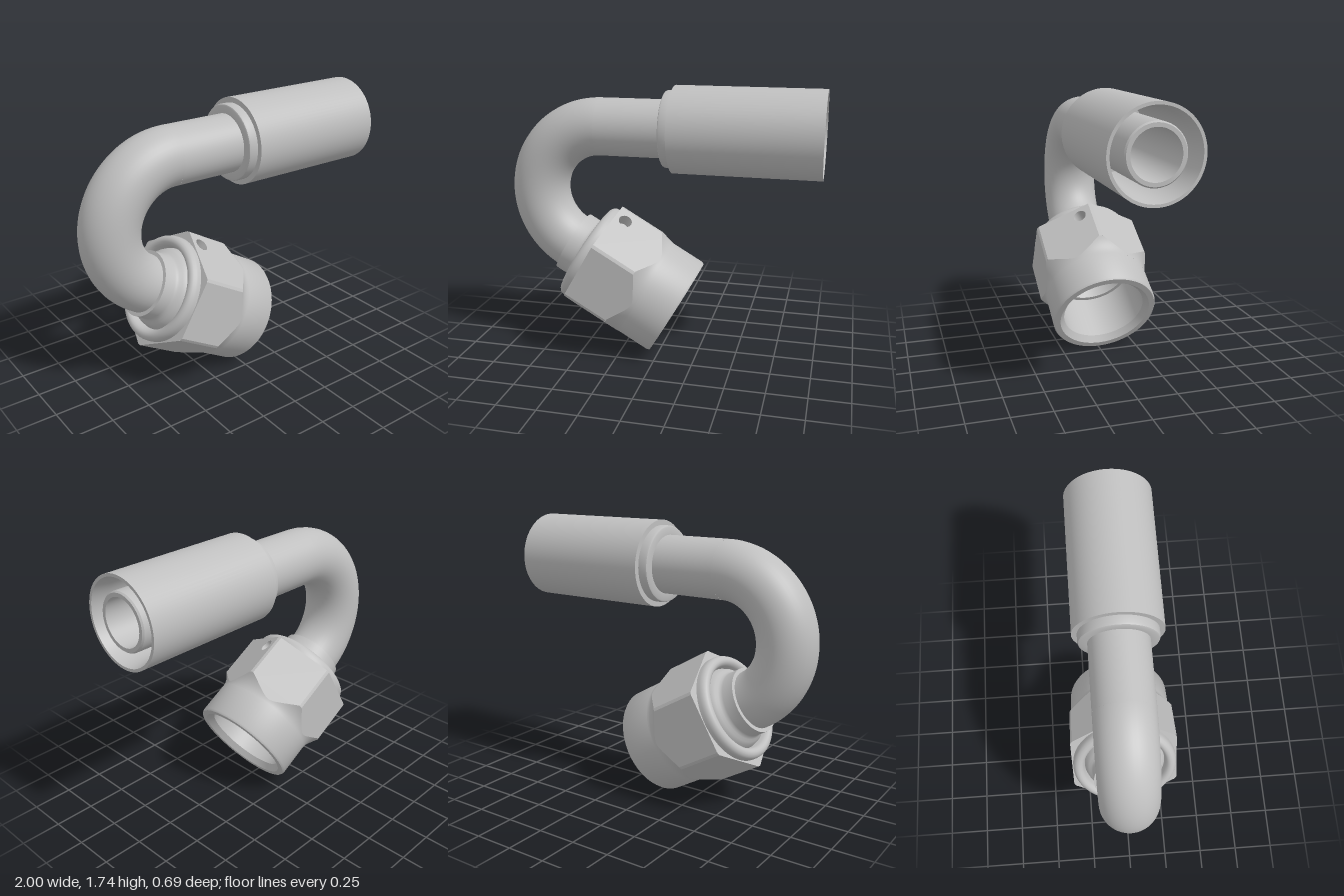
import * as THREE from 'three';
import { toCreasedNormals } from 'three/addons/utils/BufferGeometryUtils.js';

const metal = new THREE.MeshStandardMaterial({ color: 0xbfbfbf, side: THREE.DoubleSide });
metal.name = 'grey metal';

const RAD = Math.PI / 180;
const FLAT = 0.343, CORNER = 0.39, BACK = 0.167; // hexagon: flat distance, cut corner radius, rear face
const FILLET0 = 0.475, FILLET1 = 0.585, BARREL = 0.341; // fillet from hexagon down to the barrel
const CUT = Math.acos(FLAT / CORNER); // half angle of one flat

function add(parent, name, geometry) {
  const mesh = new THREE.Mesh(geometry, metal);
  mesh.name = name;
  parent.add(mesh);
  return mesh;
}

// Turned part around y from [radius, height] pairs, with sharp corners kept
function turned(parent, name, profile) {
  const points = profile.map(([r, y]) => new THREE.Vector2(r, y));
  return add(parent, name, toCreasedNormals(new THREE.LatheGeometry(points, 80), 0.6));
}

// Radius of the hexagon with rounded-off corners; flats face 30, 90, 150... degrees
function hexRadius(angle) {
  const a = ((angle / RAD) % 60 - 30) * RAD;
  return Math.min(FLAT / Math.cos(a), CORNER);
}

// Height at which the fillet surface has a given radius
function filletHeight(r) {
  const t = 1 - Math.sqrt((r - BARREL) / (CORNER - BARREL));
  return FILLET0 + t * (FILLET1 - FILLET0);
}

function filletGeometry() {
  const around = 180, rows = 8, pos = [], index = [];
  for (let i = 0; i < around; i++) {
    const angle = i / around * Math.PI * 2;
    const start = filletHeight(hexRadius(angle));
    for (let j = 0; j <= rows; j++) {
      const y = start + (FILLET1 - start) * j / rows;
      const t = (y - FILLET0) / (FILLET1 - FILLET0);
      const r = BARREL + (CORNER - BARREL) * (1 - t) ** 2;
      pos.push(r * Math.cos(angle), y, r * Math.sin(angle));
    }
  }
  for (let i = 0; i < around; i++) {
    for (let j = 0; j < rows; j++) {
      const a = i * (rows + 1) + j, b = ((i + 1) % around) * (rows + 1) + j;
      index.push(a, a + 1, b, b, a + 1, b + 1);
    }
  }
  const g = new THREE.BufferGeometry();
  g.setAttribute('position', new THREE.Float32BufferAttribute(pos, 3));
  g.setIndex(index);
  g.computeVertexNormals();
  return g;
}

// One hexagon face, with its curved front edge and an optional round hole
function flatGeometry(hole) {
  const shape = new THREE.Shape();
  const half = FLAT * Math.tan(CUT);
  shape.moveTo(-half, BACK);
  shape.lineTo(half, BACK);
  for (let i = 0; i <= 28; i++) {
    const a = CUT * (1 - i / 14);
    shape.lineTo(FLAT * Math.tan(a), filletHeight(Math.min(FLAT / Math.cos(a), CORNER)));
  }
  if (hole) {
    const p = new THREE.Path();
    p.absarc(hole.x, hole.y, hole.r, 0, Math.PI * 2, true);
    shape.holes.push(p);
  }
  return new THREE.ShapeGeometry(shape, 24);
}

function buildNut() {
  const nut = new THREE.Group();
  nut.name = 'swivelNut';
  const hole = { x: -0.105, y: 0.24, r: 0.043, depth: 0.09 };

  for (let k = 0; k < 6; k++) {
    const a = 30 + 60 * k;
    const side = new THREE.Group();
    side.name = 'nutSide';
    side.rotation.y = (90 - a) * RAD;
    nut.add(side);
    const drilled = a === 150;
    add(side, 'nutFlat', flatGeometry(drilled ? hole : null)).position.z = FLAT;

    // Rounded corner strip beside the flat
    const strip = new THREE.CylinderGeometry(CORNER, CORNER, FILLET0 - BACK, 4, 1, true,
      CUT, 60 * RAD - 2 * CUT);
    add(side, 'nutCorner', strip).position.y = (FILLET0 + BACK) / 2;

    // Blind pin hole
    if (drilled) {
      const wall = add(side, 'pinHoleWall',
        new THREE.CylinderGeometry(hole.r, hole.r, hole.depth, 24, 1, true));
      wall.rotation.x = Math.PI / 2;
      wall.position.set(hole.x, hole.y, FLAT - hole.depth / 2);
      add(side, 'pinHoleFloor', new THREE.CircleGeometry(hole.r, 24))
        .position.set(hole.x, hole.y, FLAT - hole.depth);
    }
  }
  add(nut, 'nutFillet', filletGeometry());

  // Flat rear face of the hexagon
  const rear = new THREE.Shape();
  for (let i = 0; i < 180; i++) {
    const a = i * 2 * RAD, r = hexRadius(a);
    rear[i ? 'lineTo' : 'moveTo'](r * Math.cos(a), r * Math.sin(a));
  }
  const opening = new THREE.Path();
  opening.absarc(0, 0, 0.3, 0, Math.PI * 2, true);
  rear.holes.push(opening);
  const rearFace = add(nut, 'nutRearFace', new THREE.ShapeGeometry(rear, 40));
  rearFace.rotation.x = Math.PI / 2;
  rearFace.position.y = BACK;

  // Rolled lip behind the hexagon
  turned(nut, 'nutLip', [[0.26, 0.165], [0.267, 0.13], [0.275, 0.114], [0.287, 0.105], [0.3, 0.102],
    [0.315, 0.106], [0.327, 0.116], [0.334, 0.13], [0.336, 0.145], [0.336, BACK]]);

  // Front barrel, chamfered mouth, bore and cone seat
  turned(nut, 'nutBarrel', [[BARREL, FILLET1], [BARREL, 0.8], [0.333, 0.813], [0.297, 0.813],
    [0.265, 0.775], [0.265, 0.46], [0.24, 0.46], [0.24, 0.45], [0.145, 0.28], [0.145, 0]]);

  // Shoulder on the tube end, flaring under the lip
  turned(nut, 'tubeShoulder', [[0.18, 0], [0.207, 0], [0.207, 0.075], [0.211, 0.088], [0.22, 0.1],
    [0.234, 0.112], [0.248, 0.13], [0.262, 0.165]]);
  return nut;
}

export function createModel() {
  const model = new THREE.Group();
  model.name = 'bentHoseFitting';

  // Bent tube, outside and bore
  for (const [name, r] of [['tubeBend', 0.183], ['tubeBendBore', 0.143]]) {
    const bend = add(model, name, new THREE.TorusGeometry(0.415, r, 40, 72, 150 * RAD));
    bend.rotation.z = Math.PI / 2;
    bend.position.set(-0.4, 1.06, 0);
  }

  // Straight tube and crimp sleeve share one axis along x
  const straight = new THREE.Group();
  straight.name = 'hoseEnd';
  straight.rotation.z = -Math.PI / 2;
  straight.position.y = 1.475;
  model.add(straight);
  turned(straight, 'straightTube', [[0.183, -0.4], [0.183, 0.05]]);
  turned(straight, 'crimpSleeve', [[0.183, 0.02], [0.228, 0.02], [0.236, 0.024], [0.24, 0.034],
    [0.24, 0.08], [0.273, 0.08], [0.273, 1], [0.255, 1], [0.237, 0.9], [0.237, 0.14], [0.172, 0.14]]);
  turned(straight, 'hoseInsert', [[0.174, 0.14], [0.174, 0.98], [0.166, 0.99], [0.143, 0.99], [0.143, -0.4]]);

  // Swivel nut at the lower end of the bend
  const nut = buildNut();
  nut.rotation.z = -120 * RAD;
  nut.position.set(-0.6075, 0.7, 0);
  model.add(nut);
  return model;
}
